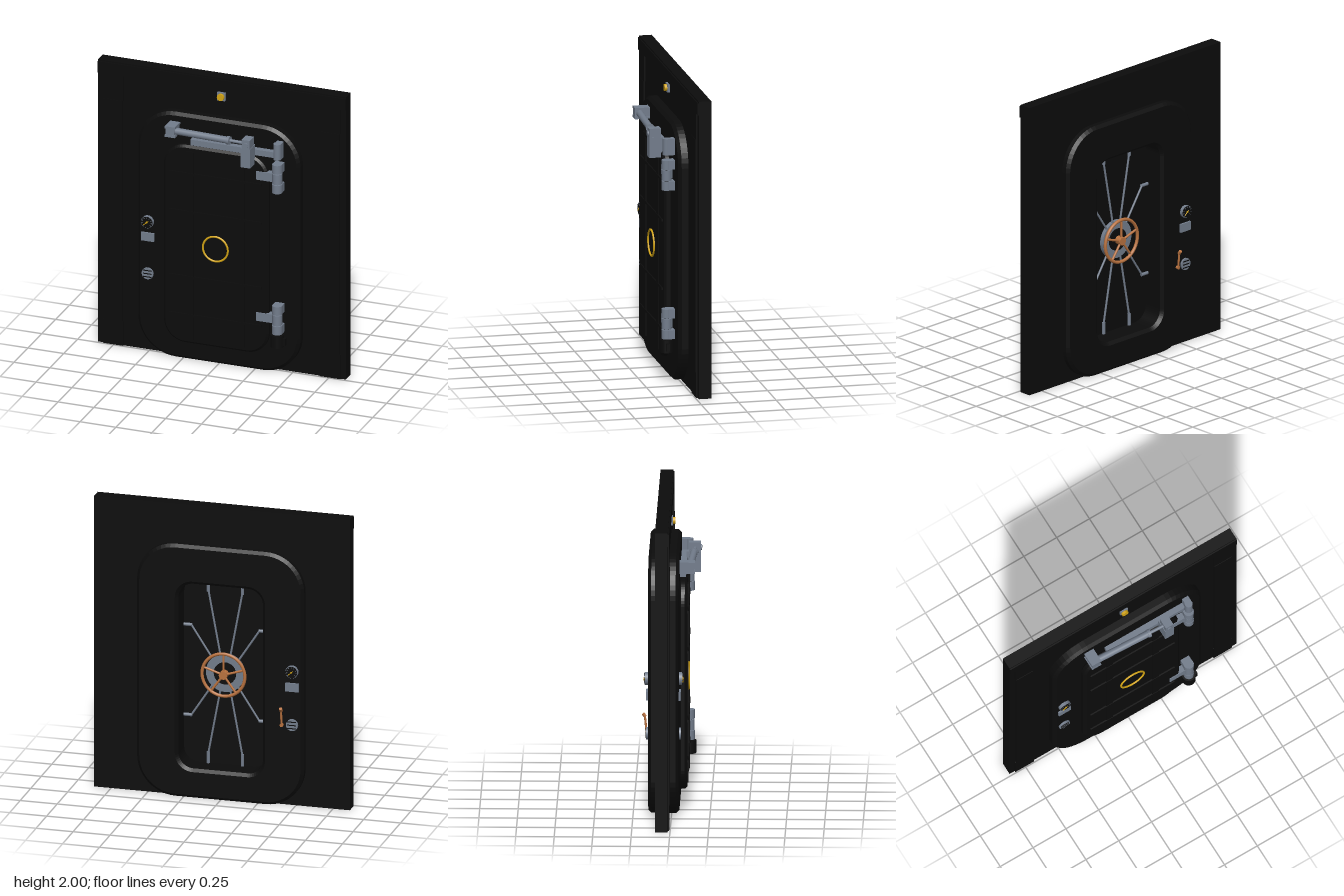
import * as THREE from 'three';

const mat = (name, color) => Object.assign(new THREE.MeshStandardMaterial({ color }), { name });

export function createModel() {
  const black = mat('blackPaint', 0x0c0c0c);
  const steel = mat('steel', 0x737d8c);
  const yellow = mat('yellow', 0xd4a514);
  const copper = mat('copper', 0xb9723f);
  const root = new THREE.Group();
  root.name = 'bulkheadDoor';

  const add = (name, geo, m, parent = root) => {
    const mesh = new THREE.Mesh(geo, m);
    mesh.name = name;
    parent.add(mesh);
    return mesh;
  };
  const box = (name, m, x0, x1, y0, y1, z0, z1, parent = root) => {
    const mesh = add(name, new THREE.BoxGeometry(x1 - x0, y1 - y0, z1 - z0), m, parent);
    mesh.position.set((x0 + x1) / 2, (y0 + y1) / 2, (z0 + z1) / 2);
    return mesh;
  };
  const rod = (name, m, a, b, r, parent = root, sides = 16) => {
    const p = new THREE.Vector3(...a), q = new THREE.Vector3(...b), d = q.clone().sub(p);
    const mesh = add(name, new THREE.CylinderGeometry(r, r, d.length(), sides), m, parent);
    mesh.position.copy(p).add(q).multiplyScalar(0.5);
    mesh.quaternion.setFromUnitVectors(new THREE.Vector3(0, 1, 0), d.normalize());
    return mesh;
  };
  const ring = (name, m, x, y, z, r, tube, parent = root) => {
    const mesh = add(name, new THREE.TorusGeometry(r, tube, 8, 40), m, parent);
    mesh.position.set(x, y, z);
    return mesh;
  };
  const roundRect = (w, y0, y1, r, Type = THREE.Shape) => {
    const s = new Type();
    s.moveTo(w - r, y0);
    s.absarc(w - r, y0 + r, r, -Math.PI / 2, 0, false);
    s.absarc(w - r, y1 - r, r, 0, Math.PI / 2, false);
    s.absarc(r - w, y1 - r, r, Math.PI / 2, Math.PI, false);
    s.absarc(r - w, y0 + r, r, Math.PI, Math.PI * 1.5, false);
    s.closePath();
    return s;
  };
  const slab = (name, shape, z0, z1, bevel) => {
    const geo = new THREE.ExtrudeGeometry(shape, {
      depth: z1 - z0 - 2 * bevel, curveSegments: 6, bevelEnabled: bevel > 0,
      bevelSize: bevel, bevelThickness: bevel, bevelOffset: -bevel, bevelSegments: 1,
    });
    geo.translate(0, 0, z0 + bevel);
    return add(name, geo, black);
  };

  // Wall panel with a doorway, edge pillars and a top band
  const wall = new THREE.Shape([[-0.864, 0], [0.864, 0], [0.864, 2], [-0.864, 2]].map(p => new THREE.Vector2(...p)));
  wall.holes.push(roundRect(0.45, 0.08, 1.62, 0.2, THREE.Path));
  slab('wallPanel', wall, -0.098, -0.015, 0);
  box('topBand', black, -0.864, 0.864, 1.91, 1.99, -0.02, -0.006);
  for (const s of [-1, 1]) {
    const c = s * 0.755;
    box('pillar', black, c - 0.065, c + 0.065, 0.17, 1.735, -0.02, -0.003);
    box('pillarFoot', black, c - 0.07, c + 0.07, 0, 0.17, -0.02, -0.006);
    box('pillarHead', black, c - 0.07, c + 0.07, 1.735, 1.91, -0.02, -0.006);
  }

  // Thick door frame
  const frame = roundRect(0.565, 0, 1.735, 0.26);
  frame.holes.push(roundRect(0.285, 0.2, 1.47, 0.1, THREE.Path));
  slab('doorFrame', frame, -0.15, 0.05, 0.02);

  // Door leaf with ribs on the front
  slab('doorLeaf', roundRect(0.365, 0.137, 1.537, 0.15), 0.045, 0.1, 0.015);
  slab('doorPlug', roundRect(0.284, 0.202, 1.468, 0.1), 0.0, 0.05, 0);
  for (const y of [0.34, 0.61, 1.07, 1.34]) box('horizontalRib', black, -0.32, 0.32, y - 0.008, y + 0.008, 0.095, 0.109);
  for (const x of [-0.175, 0.175]) box('verticalRib', black, x - 0.025, x + 0.025, 0.17, 1.5, 0.095, 0.106);
  ring('yellowRing', yellow, 0, 0.837, 0.104, 0.087, 0.007);

  // Hinges
  for (const y of [0.405, 1.405]) {
    const hinge = new THREE.Group();
    hinge.name = 'hinge';
    hinge.position.y = y;
    root.add(hinge);
    rod('barrel', steel, [0.43, -0.035, 0.1], [0.43, 0.035, 0.1], 0.033, hinge);
    for (const s of [-1, 1]) {
      rod('knuckle', steel, [0.43, s * 0.04, 0.1], [0.43, s * 0.1, 0.1], 0.034, hinge);
      box('knuckleMount', steel, 0.398, 0.462, s * 0.07 - 0.03, s * 0.07 + 0.03, 0.045, 0.1, hinge);
    }
    rod('pin', black, [0.43, -0.098, 0.1], [0.43, 0.098, 0.1], 0.02, hinge);
    box('strap', steel, 0.285, 0.42, -0.03, 0.03, 0.06, 0.105, hinge);
  }
  rod('lowerPivot', black, [0.43, 0.215, 0.1], [0.43, 0.3, 0.1], 0.045);
  box('stopBlock', black, 0.46, 0.49, 0.23, 0.28, 0.09, 0.115);

  // Door closer with arm and ram
  box('closerArm', steel, -0.18, 0.43, 1.54, 1.58, 0.05, 0.09);
  rod('armPost', steel, [0.43, 1.54, 0.1], [0.43, 1.65, 0.1], 0.026);
  box('armPostMount', steel, 0.41, 0.455, 1.54, 1.65, 0.045, 0.1);
  box('ramBracket', steel, -0.33, -0.272, 1.605, 1.675, 0.045, 0.148);
  for (const y of [1.605, 1.665]) box('bracketEar', steel, -0.335, -0.265, y - 0.005, y + 0.01, 0.05, 0.15);
  rod('ramBody', steel, [-0.27, 1.638, 0.118], [0.11, 1.638, 0.136], 0.023);
  rod('ramCollar', steel, [0.095, 1.638, 0.135], [0.115, 1.638, 0.137], 0.028);
  rod('ramRod', steel, [0.11, 1.638, 0.136], [0.24, 1.638, 0.142], 0.011);
  box('armPost', steel, 0.205, 0.27, 1.48, 1.615, 0.085, 0.178);
  box('ramClevis', steel, 0.21, 0.267, 1.61, 1.675, 0.1, 0.178);
  rod('clevisPin', steel, [0.238, 1.638, 0.12], [0.238, 1.638, 0.186], 0.02);

  // Warning lamp above the door
  box('lampBase', steel, -0.028, 0.028, 1.847, 1.903, -0.016, 0.002);
  rod('lamp', yellow, [0, 1.875, 0], [0, 1.875, 0.018], 0.024);

  // Gauge, box and speaker on both sides of the frame
  for (const s of [1, -1]) {
    const set = new THREE.Group();
    set.name = s > 0 ? 'frontInstruments' : 'backInstruments';
    set.position.set(-0.49, 0, s > 0 ? 0.045 : -0.145);
    if (s < 0) set.rotation.y = Math.PI;
    root.add(set);
    rod('gaugeBody', steel, [0, 0.937, 0], [0, 0.937, 0.026], 0.042, set, 24);
    rod('gaugeDial', black, [0, 0.937, 0.02], [0, 0.937, 0.029], 0.039, set, 24);
    for (let i = 0; i < 9; i++) {
      const a = -0.7 + i * Math.PI / 5.5;
      const tick = add('gaugeTick', new THREE.BoxGeometry(0.009, 0.003, 0.002), steel, set);
      tick.position.set(Math.cos(a) * 0.032, 0.937 + Math.sin(a) * 0.032, 0.03);
      tick.rotation.z = a;
    }
    rod('gaugeNeedle', yellow, [-0.022, 0.917, 0.031], [0.01, 0.946, 0.031], 0.003, set, 6);
    rod('needleHub', yellow, [0, 0.937, 0.028], [0, 0.937, 0.034], 0.006, set);
    box('controlBox', steel, -0.045, 0.045, 0.8, 0.858, 0, 0.018, set);
    rod('speakerBody', steel, [0, 0.57, 0], [0, 0.57, 0.018], 0.04, set, 24);
    for (const y of [-0.022, 0, 0.022]) box('speakerSlot', black, -0.03, 0.03, 0.567 + y, 0.573 + y, 0.016, 0.021, set);
  }

  // Lever on the back of the frame
  rod('leverPivot', copper, [-0.42, 0.565, -0.145], [-0.42, 0.565, -0.168], 0.012);
  rod('leverArm', copper, [-0.42, 0.565, -0.162], [-0.42, 0.675, -0.173], 0.007);
  rod('leverKnob', copper, [-0.42, 0.665, -0.17], [-0.42, 0.685, -0.184], 0.011);

  // Locking gear on the back of the door
  const gear = new THREE.Group();
  gear.name = 'lockingGear';
  gear.position.set(0, 0.837, 0);
  root.add(gear);
  rod('gearDisc', steel, [0, 0, 0], [0, 0, -0.025], 0.13, gear, 32);
  rod('gearBoss', black, [0, 0, -0.02], [0, 0, -0.035], 0.075, gear, 24);
  for (const sx of [-1, 1]) for (const sy of [-1, 1]) {
    rod('longRod', steel, [sx * 0.03, sy * 0.1, -0.018], [sx * 0.115, sy * 0.56, -0.018], 0.007, gear, 8);
    rod('shortRod', steel, [sx * 0.08, sy * 0.08, -0.018], [sx * 0.23, sy * 0.31, -0.018], 0.007, gear, 8);
    rod('verticalBolt', steel, [sx * 0.115, sy * 0.55, -0.018], [sx * 0.115, sy * 0.63, -0.018], 0.011, gear, 10);
    rod('sideBolt', steel, [sx * 0.225, sy * 0.31, -0.018], [sx * 0.282, sy * 0.31, -0.018], 0.011, gear, 10);
  }

  // Handwheel
  ring('wheelRim', copper, 0, 0, -0.065, 0.145, 0.011, gear);
  rod('wheelHub', copper, [0, 0, -0.02], [0, 0, -0.08], 0.028, gear);
  for (let i = 0; i < 5; i++) {
    const a = Math.PI / 2 + i * Math.PI * 0.4;
    rod('wheelSpoke', copper, [0, 0, -0.065], [Math.cos(a) * 0.145, Math.sin(a) * 0.145, -0.065], 0.008, gear, 8);
  }
  return root;
}
